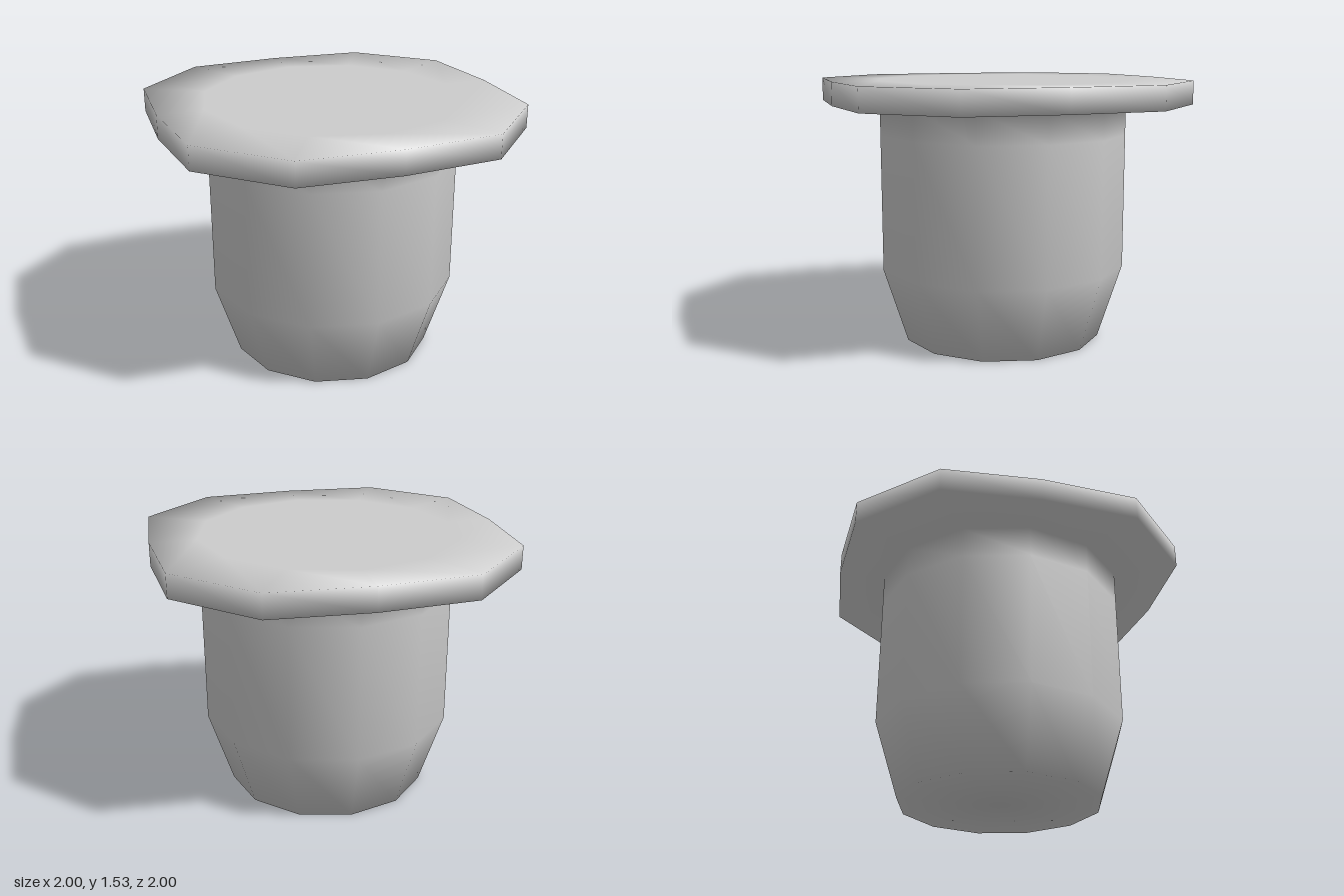
import * as THREE from 'three';

const SIDES = 12;
const CORNER = 1.109; // the eight diagonal corners of the head stick out further

// Rings run bottom to top: [radius, height, normal elevation in degrees, stretched corners?]
function turned(name, rings, material) {
  const geometry = new THREE.LatheGeometry(
    rings.map(([r, y]) => new THREE.Vector2(r, y)), SIDES);
  const pos = geometry.attributes.position;
  const normal = geometry.attributes.normal;
  for (let i = 0; i <= SIDES; i++) {
    const a = (i / SIDES) * Math.PI * 2;
    rings.forEach(([r, y, elevation, stretched], j) => {
      const k = i * rings.length + j;
      const radius = stretched && i % 3 !== 0 ? r * CORNER : r;
      const e = THREE.MathUtils.degToRad(elevation);
      pos.setXYZ(k, Math.sin(a) * radius, y, Math.cos(a) * radius);
      normal.setXYZ(k, Math.sin(a) * Math.cos(e), Math.sin(e), Math.cos(a) * Math.cos(e));
    });
  }
  const mesh = new THREE.Mesh(geometry, material);
  mesh.name = name;
  return mesh;
}

export function createModel() {
  const grey = new THREE.MeshStandardMaterial({ color: 0xcccccc });
  grey.name = 'light grey';

  const group = new THREE.Group();
  group.name = 'plug';

  // Shank: closed flat base, tapered foot, straight wall up to the head
  group.add(turned('shank', [
    [0, 0, -90],
    [0.59, 0, -45],
    [0.73, 0.44, -8],
    [0.73, 1.22, 0],
    [0.73, 1.4, -45],
  ], grey));

  // Head: thin wide disc with softly shaded rim and flat centre
  group.add(turned('head', [
    [0.73, 1.4, -45],
    [1, 1.4, -40, true],
    [1, 1.535, 40, true],
    [0.74, 1.535, 90],
    [0, 1.535, 90],
  ], grey));

  return group;
}
